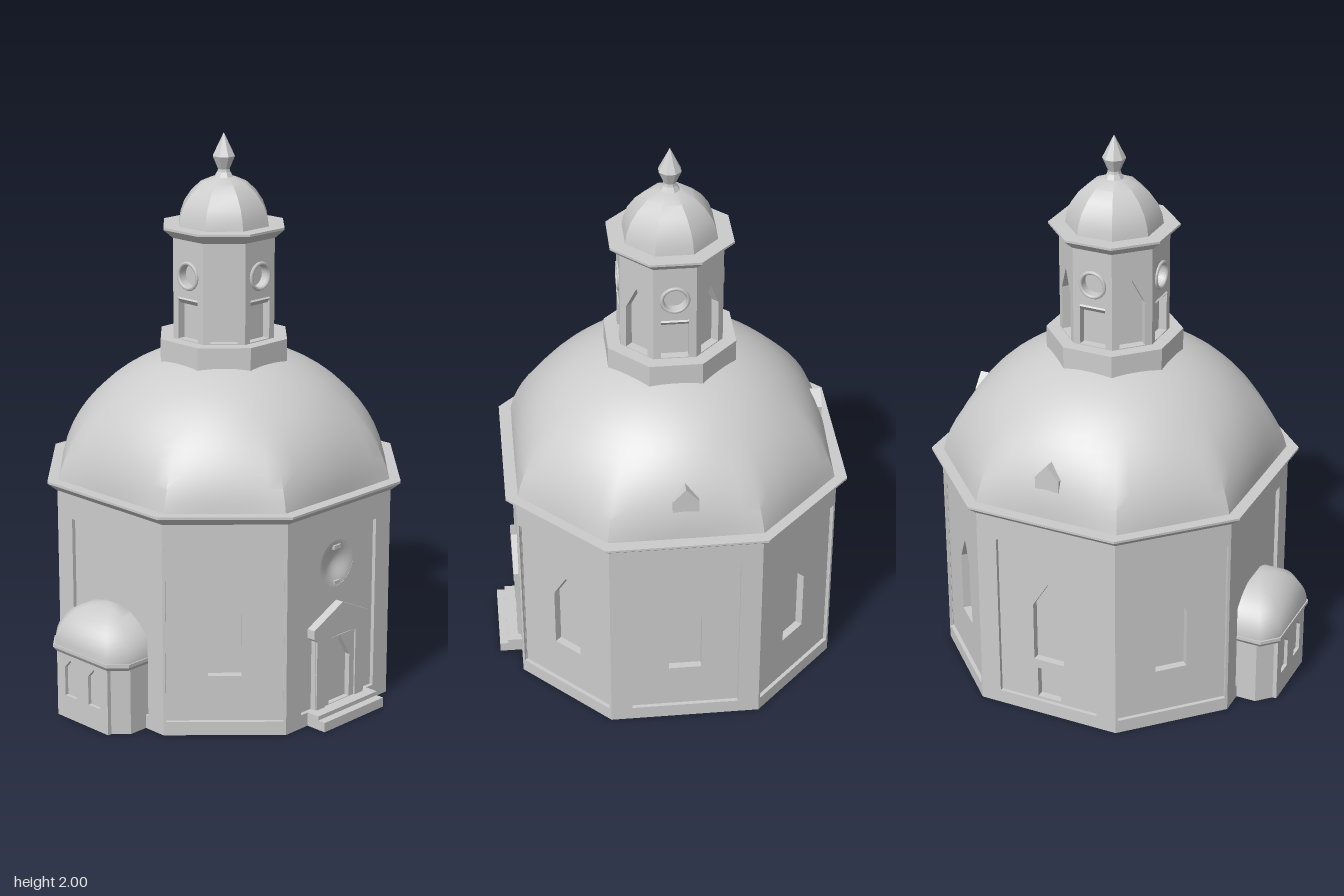
import * as THREE from 'three';
import { toCreasedNormals } from 'three/addons/utils/BufferGeometryUtils.js';

const stone = new THREE.MeshStandardMaterial({ color: 0xcccccc });
stone.name = 'stone';

function add(parent, name, geometry, x = 0, y = 0, z = 0) {
  const mesh = new THREE.Mesh(geometry, stone);
  mesh.name = name;
  mesh.position.set(x, y, z);
  parent.add(mesh);
  return mesh;
}

// Octagon corners [x, z]: a = distance to the axis faces, h = half their width
const REGULAR = Math.tan(Math.PI / 8);
const octagon = (a, h = a * REGULAR) =>
  [[-h, a], [h, a], [a, h], [a, -h], [h, -a], [-h, -a], [-a, -h], [-a, h]];

// Closed solid through horizontal rings { y, pts }
function loft(rings, crease = 0.3) {
  const v = [];
  const put = (ring, i) => {
    const p = ring.pts[i % ring.pts.length];
    v.push(p[0], ring.y, p[1]);
  };
  const n = rings[0].pts.length, top = rings[rings.length - 1];
  for (let k = 0; k + 1 < rings.length; k++) {
    const lo = rings[k], hi = rings[k + 1];
    for (let i = 0; i < n; i++) {
      put(lo, i); put(lo, i + 1); put(hi, i + 1);
      put(lo, i); put(hi, i + 1); put(hi, i);
    }
  }
  for (let i = 1; i < n - 1; i++) {
    put(top, 0); put(top, i); put(top, i + 1);
    put(rings[0], 0); put(rings[0], i + 1); put(rings[0], i);
  }
  const g = new THREE.BufferGeometry();
  g.setAttribute('position', new THREE.Float32BufferAttribute(v, 3));
  g.computeVertexNormals();
  return toCreasedNormals(g, crease);
}
// Octagonal solid from [apothem, y] pairs
const octLoft = (profile, crease) =>
  loft(profile.map(([a, y]) => ({ y, pts: octagon(a) })), crease);

// Flat outlines
const poly = (pts) => pts.map(([x, y]) => new THREE.Vector2(x, y));
const rect = (w, y0, y1) => poly([[-w, y0], [w, y0], [w, y1], [-w, y1]]);
const pointed = (w, y0, shoulder, apex, x = 0) =>
  poly([[x - w, y0], [x + w, y0], [x + w, shoulder], [x, apex], [x - w, shoulder]]);
const circle = (r, y) => new THREE.Path().absarc(0, y, r, 0, Math.PI * 2).getPoints(16);

// Plate with holes between z0 and z1
function plate(outline, holes, z0, z1) {
  const s = new THREE.Shape(outline);
  holes.forEach((h) => s.holes.push(new THREE.Path(h)));
  return new THREE.ExtrudeGeometry(s, { depth: z1 - z0, bevelEnabled: false }).translate(0, 0, z0);
}

// Group whose local +z points out of octagon face i (0 front, 2 +x side, 4 back, 6 -x side)
function faceGroup(parent, name, i, apothem) {
  const g = new THREE.Group(), a = i * Math.PI / 4;
  g.name = name;
  g.rotation.y = a;
  g.position.set(Math.sin(a) * apothem, 0, Math.cos(a) * apothem);
  parent.add(g);
  return g;
}

const A = 0.565, H = 0.265;

function buildWalls(parent) {
  const ring = (s, y) => ({ y, pts: octagon(A * s, H * s) });
  add(parent, 'wallCore', loft([ring(0.928, 0.01), ring(0.928, 0.78)]));
  add(parent, 'floor', loft([ring(0.995, 0), ring(0.995, 0.04)]));
  const faces = [];
  for (let i = 0; i < 8; i++) {
    const diagonal = i % 2 === 1;
    const half = diagonal ? (A - H) / Math.SQRT2 : H;
    const panel = diagonal ? 0.203 : 0.19;
    const g = faceGroup(parent, 'wallFace' + i, i, diagonal ? (A + H) / Math.SQRT2 : A);
    add(g, 'wallFrame', plate(rect(half, 0, 0.775), [rect(panel, 0.05, 0.68)], -0.014, 0));
    const holes = [];
    if (diagonal || i >= 4) holes.push(pointed(0.058, 0.215, 0.44, 0.535));
    if (i === 6) holes.push(rect(0.045, 0.06, 0.18));
    if (i === 2) holes.push(circle(0.085, 0.56));
    add(g, 'wallPanel', plate(rect(panel + 0.004, 0.03, 0.7), holes, -0.042, -0.014));
    faces.push(g);
  }
  return faces;
}

function buildPortal(face) {
  // shallow round niche with two small brackets
  const dish = [];
  for (let k = 0; k <= 8; k++) {
    const t = 1 - k / 8;
    dish.push(new THREE.Vector2(0.087 * t, -0.011 * (1 + Math.cos(Math.PI * t))));
  }
  add(face, 'niche', new THREE.LatheGeometry(dish, 32).rotateX(Math.PI / 2), 0, 0.56, -0.0145);
  add(face, 'nicheBracket', new THREE.BoxGeometry(0.035, 0.014, 0.02), 0, 0.62, -0.02);
  add(face, 'nicheBracket', new THREE.BoxGeometry(0.025, 0.012, 0.02), 0, 0.49, -0.02);
  // door surround, gable and steps
  add(face, 'doorSurround', plate(rect(0.125, 0.05, 0.32), [pointed(0.053, 0.052, 0.21, 0.297)], -0.014, 0.006));
  for (const s of [-1, 1])
    add(face, 'doorPilaster', new THREE.BoxGeometry(0.045, 0.27, 0.02), s * 0.1, 0.18, 0.002);
  const gable = poly([[-0.122, 0.305], [0.122, 0.305], [0.145, 0.322], [0.145, 0.355],
    [0, 0.424], [-0.145, 0.355], [-0.145, 0.322]]);
  add(face, 'doorGable', plate(gable, [pointed(0.053, 0.306, 0.307, 0.308)], -0.014, 0.018));
  add(face, 'lowerStep', new THREE.BoxGeometry(0.31, 0.035, 0.1), 0, 0.0175, 0.03);
  add(face, 'upperStep', new THREE.BoxGeometry(0.31, 0.05, 0.07), 0, 0.025, 0.015);
}

function buildBay(face) {
  const outline = (w, d, c, s = 1) => [[-w, -0.05], [-w, d - c], [c - w, d], [w - c, d], [w, d - c], [w, -0.05]]
    .map(([x, z]) => [x * s, z * s]);
  const body = outline(0.178, 0.122, 0.05);
  add(face, 'bayBody', loft([{ y: 0, pts: body }, { y: 0.25, pts: body }]));
  const windows = [-0.06, 0.06].map((x) => pointed(0.029, 0.085, 0.19, 0.222, x));
  add(face, 'bayFront', plate(rect(0.13, 0, 0.25), windows, 0.12, 0.135));
  add(face, 'bayCornice', loft([
    { y: 0.24, pts: outline(0.18, 0.136, 0.05) },
    { y: 0.255, pts: outline(0.192, 0.146, 0.055) },
    { y: 0.267, pts: outline(0.192, 0.146, 0.055) }]));
  const rings = [];
  for (let k = 0; k <= 12; k++) {
    const t = k / 12 * 1.54;
    rings.push({ y: 0.265 + 0.157 * Math.sin(t), pts: outline(0.188, 0.142, 0.055, Math.cos(t)) });
  }
  add(face, 'bayRoof', loft(rings, 1));
}

function buildDome(parent) {
  const ring = (a, h, y) => ({ y, pts: octagon(a, h) });
  add(parent, 'mainCornice', loft([ring(0.567, 0.267, 0.77), ring(0.6, 0.278, 0.798), ring(0.6, 0.278, 0.806)]));
  // octagonal at the foot, round towards the top
  const rings = [];
  const corners = octagon(0.558, 0.268);
  for (let k = 0; k <= 14; k++) {
    const t = k / 14 * 1.35;
    const round = Math.min(1, 1.6 * Math.sin(t));
    const pts = [];
    corners.forEach((p, i) => {
      const q = corners[(i + 1) % 8];
      for (let j = 0; j < 8; j++) {
        const x = p[0] + (q[0] - p[0]) * j / 8, z = p[1] + (q[1] - p[1]) * j / 8;
        const s = Math.cos(t) * (1 - round + round * 0.562 / Math.hypot(x, z));
        pts.push([x * s, z * s]);
      }
    });
    rings.push({ y: 0.8 + 0.45 * Math.sin(t), pts });
  }
  add(parent, 'dome', loft(rings, 0.5));
  // gabled dormers at the back and the -x side
  for (const i of [4, 6]) {
    const g = faceGroup(parent, 'dormer', i, 0.542);
    add(g, 'dormerBody', plate(pointed(0.045, 0.87, 0.95, 1), [], -0.12, 0));
  }
}

function buildLantern(parent) {
  const a = 0.177;
  add(parent, 'lanternBase', octLoft([[0.222, 1.19], [0.222, 1.287]]));
  add(parent, 'lanternCore', octLoft([[a - 0.03, 1.28], [a - 0.03, 1.67]]));
  for (let i = 0; i < 8; i++) {
    const g = faceGroup(parent, 'lanternFace' + i, i, a);
    const holes = i % 2 ? [pointed(0.047, 1.29, 1.45, 1.54)]
      : [rect(0.048, 1.29, 1.44), circle(0.04, 1.52)];
    add(g, 'lanternWall', plate(rect(a * REGULAR, 1.28, 1.665), holes, -0.03, 0));
    if (i % 2 === 0) {
      add(g, 'roundWindowFrame', new THREE.TorusGeometry(0.045, 0.007, 6, 24), 0, 1.52, 0);
      add(g, 'lintel', new THREE.BoxGeometry(0.096, 0.022, 0.012), 0, 1.43, -0.008).rotation.x = 0.7;
    }
  }
  add(parent, 'lanternCornice', octLoft([[0.178, 1.645], [0.21, 1.675], [0.21, 1.683]]));
  add(parent, 'lanternDome', octLoft([[0.157, 1.68], [0.152, 1.715], [0.138, 1.755], [0.112, 1.795],
    [0.078, 1.828], [0.035, 1.848]], 0.5));
  add(parent, 'spire', octLoft([[0.034, 1.845], [0.022, 1.865], [0.02, 1.875], [0.038, 1.92], [0.001, 2]]));
}

export function createModel() {
  const model = new THREE.Group();
  model.name = 'chapel';
  const building = new THREE.Group();
  building.name = 'building';
  building.position.set(-0.025, 0, -0.055);
  model.add(building);
  const faces = buildWalls(building);
  buildBay(faces[0]);
  buildPortal(faces[2]);
  buildDome(building);
  buildLantern(building);
  return model;
}
